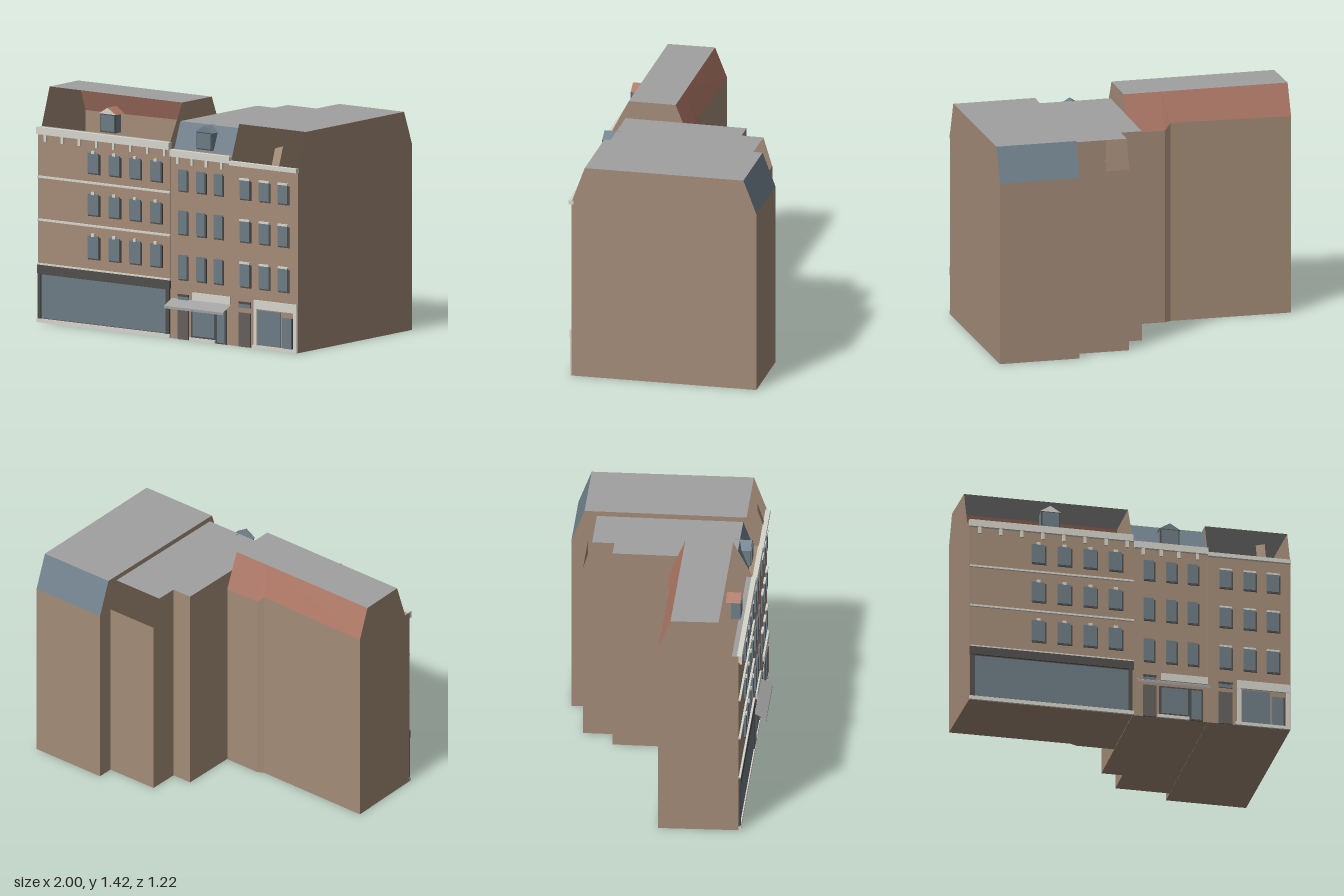
import * as THREE from 'three';

const mat = (name, color) => {
  const m = new THREE.MeshStandardMaterial({ color, side: THREE.DoubleSide });
  m.name = name;
  return m;
};

export function createModel() {
  const M = {
    wall: mat('brown brick', 0xa48c78),
    roof: mat('grey flat roof', 0xa0a0a0),
    red: mat('red tile', 0xac7664),
    slate: mat('blue slate', 0x6f808b),
    trim: mat('pale stone', 0xd6d5cc),
    dark: mat('dark frame', 0x504e4c),
    glass: mat('window glass', 0x6d7b84),
    door: mat('door', 0x655f5b),
  };
  const root = new THREE.Group();
  const FRONT = 0.53;

  const group = (name) => {
    const g = new THREE.Group();
    g.name = name;
    root.add(g);
    return g;
  };

  // Flat polygons, each fanned from its first corner
  const faces = (parent, name, material, polys) => {
    const pos = [];
    for (const p of polys)
      for (let i = 1; i < p.length - 1; i++) pos.push(...p[0], ...p[i], ...p[i + 1]);
    const g = new THREE.BufferGeometry();
    g.setAttribute('position', new THREE.Float32BufferAttribute(pos, 3));
    g.computeVertexNormals();
    const m = new THREE.Mesh(g, material);
    m.name = name;
    parent.add(m);
  };

  // Box given by its extents
  const box = (parent, name, material, x0, x1, y0, y1, z0, z1) => {
    const m = new THREE.Mesh(new THREE.BoxGeometry(x1 - x0, y1 - y0, z1 - z0), material);
    m.name = name;
    m.position.set((x0 + x1) / 2, (y0 + y1) / 2, (z0 + z1) / 2);
    parent.add(m);
  };

  // Shell lofted along x through [z, y] profiles; skin holds one material per profile edge, null = open
  const shell = (parent, sections, skin, caps) => {
    const rings = sections.map(({ x, profile }) =>
      profile.map(([z, y]) => [typeof x === 'function' ? x(z) : x, y, z]));
    for (const [key, material] of Object.entries(M)) {
      const polys = [];
      for (let s = 0; s < rings.length - 1; s++) {
        const a = rings[s], b = rings[s + 1], n = a.length;
        for (let i = 0; i < n; i++) {
          const j = (i + 1) % n;
          if (skin[i] === key) polys.push([a[i], a[j], b[j], b[i]]);
        }
      }
      if (key === 'wall') {
        if (caps[0]) polys.push(rings[0]);
        if (caps[1]) polys.push([...rings[rings.length - 1]].reverse());
      }
      if (polys.length) faces(parent, key + 'Shell', material, polys);
    }
  };

  // Building with the red mansard: starts at the ledge, then front, base, back, slope, top
  const west = group('redRoofBuilding');
  const westProfile = (zb, yb) => [
    [0.49, 1.19], [FRONT, 1.19], [FRONT, 0], [zb, 0], [zb, yb], [0.12, 1.42], [0.41, 1.42]];
  shell(west, [
    { x: (z) => -1 + 0.015 * (z / FRONT), profile: westProfile(0.045, 1.23) },
    { x: -0.25, profile: westProfile(0.05, 1.24) },
    { x: -0.21, profile: westProfile(0.03, 1.2) },
    { x: 0.024, profile: westProfile(0.03, 1.2) },
  ], ['roof', 'wall', 'wall', 'wall', 'red', 'roof', null], [true, true]);

  // Middle building with a stepped back and a slate front slope
  const mid = group('middleBuilding');
  const midFront = [[0.49, 1.15], [FRONT, 1.15], [FRONT, 0]];
  const shallow = [...midFront, [-0.32, 0], [-0.32, 1.31], [0.43, 1.31]];
  const deep = [...midFront, [-0.51, 0], [-0.51, 1.13], [-0.455, 1.31], [0.43, 1.31]];
  shell(mid, [{ x: 0.026, profile: shallow }, { x: 0.155, profile: shallow }],
    ['wall', 'wall', 'wall', 'wall', 'roof', 'slate'], [true, false]);
  shell(mid, [{ x: 0.155, profile: deep }, { x: 0.489, profile: deep }],
    ['wall', 'wall', 'wall', 'wall', null, 'roof', 'slate'], [false, false]);
  faces(mid, 'backStepWall', M.wall, [
    [[-0.32, 0], [-0.51, 0], [-0.51, 1.13], [-0.455, 1.31], [-0.32, 1.31]].map(([z, y]) => [0.155, y, z])]);

  // Deep building with slate back slope
  const east = group('deepBuilding');
  const eastProfile = [[FRONT, 1.12], [FRONT, 0], [-0.61, 0], [-0.61, 1.13], [-0.53, 1.34], [0.45, 1.34]];
  shell(east, [
    { x: 0.49, profile: eastProfile },
    { x: (z) => 0.993 + 0.013 * z, profile: eastProfile },
  ], ['wall', 'wall', 'wall', 'slate', 'roof', null], [true, true]);

  // Windows: frame, pane, sill and stone head
  const windows = (parent, xs, rows, w, head) => {
    for (const x of xs) for (const [y0, y1] of rows) {
      const l = x - w / 2, r = x + w / 2;
      box(parent, 'windowFrame', M.dark, l + 0.002, r + 0.007, y0 - 0.005, y1 - 0.008, FRONT, FRONT + 0.007);
      box(parent, 'windowPane', M.glass, l, r - 0.003, y0 + 0.004, y1, FRONT, FRONT + 0.011);
      if (head === 'key') {
        box(parent, 'keystone', M.trim, x - 0.011, x + 0.011, y1 - 0.004, y1 + 0.014, FRONT, FRONT + 0.015);
      } else if (head === 'lintel') {
        box(parent, 'lintel', M.trim, l, r, y1 - 0.004, y1 + 0.008, FRONT, FRONT + 0.014);
      }
    }
  };
  windows(west, [-0.557, -0.397, -0.237, -0.08], [[0.945, 1.07], [0.69, 0.82], [0.425, 0.565]], 0.084, 'key');
  windows(mid, [0.127, 0.265, 0.398], [[0.905, 1.035], [0.64, 0.785], [0.365, 0.515]], 0.066, 'none');
  windows(east, [0.6, 0.748, 0.892], [[0.9, 1.02], [0.64, 0.77], [0.365, 0.51]], 0.076, 'lintel');

  // Cornices with brackets
  const cornice = (parent, x0, x1, y0, y1, brackets) => {
    box(parent, 'cornice', M.trim, x0, x1, y0, y1, FRONT - 0.01, FRONT + 0.02);
    for (const x of brackets)
      box(parent, 'corniceBracket', M.trim, x - 0.009, x + 0.009, y0 - 0.042, y0, FRONT, FRONT + 0.015);
  };
  cornice(west, -0.985, 0.028, 1.148, 1.192, Array.from({ length: 8 }, (_, i) => -0.92 + i * 0.13));
  cornice(mid, 0.035, 0.49, 1.11, 1.152, [0.09, 0.2, 0.31, 0.425]);
  cornice(east, 0.49, 1, 1.1, 1.125, []);

  // String courses and plinths
  for (const y of [0.355, 0.626, 0.888])
    box(west, 'stringCourse', M.trim, -0.98, 0.03, y - 0.006, y + 0.006, FRONT, FRONT + 0.013);
  box(west, 'plinth', M.trim, -0.985, 0.03, 0, 0.024, FRONT, FRONT + 0.014);
  box(mid, 'plinth', M.trim, 0.18, 0.375, 0, 0.02, FRONT, FRONT + 0.012);
  box(east, 'plinth', M.trim, 0.66, 1, 0, 0.02, FRONT, FRONT + 0.012);

  // Wide shopfront
  box(west, 'shopFascia', M.dark, -0.982, 0.03, 0.3, 0.352, FRONT, FRONT + 0.014);
  box(west, 'shopFrame', M.dark, -0.98, 0.022, 0.024, 0.3, FRONT, FRONT + 0.004);
  box(west, 'shopGlass', M.glass, -0.95, 0.0, 0.028, 0.293, FRONT, FRONT + 0.007);
  for (const x of [-0.968, 0.012])
    box(west, 'shopPier', M.dark, x - 0.012, x + 0.012, 0.024, 0.3, FRONT, FRONT + 0.012);

  // Middle shop: doors, glass, sign and awning
  const entrance = (parent, x0, x1) => {
    box(parent, 'door', M.door, x0, x1, 0, 0.208, FRONT, FRONT + 0.009);
    box(parent, 'transom', M.glass, x0, x1, 0.238, 0.265, FRONT, FRONT + 0.008);
    box(parent, 'transomHead', M.dark, x0, x1, 0.262, 0.275, FRONT, FRONT + 0.011);
  };
  entrance(mid, 0.09, 0.17);
  entrance(east, 0.555, 0.642);
  box(mid, 'shopFrame', M.dark, 0.19, 0.375, 0.02, 0.21, FRONT, FRONT + 0.005);
  box(mid, 'shopGlass', M.glass, 0.203, 0.365, 0.03, 0.2, FRONT, FRONT + 0.008);
  box(mid, 'shopDoorFrame', M.dark, 0.375, 0.46, 0, 0.21, FRONT, FRONT + 0.006);
  box(mid, 'shopDoor', M.glass, 0.388, 0.448, 0.008, 0.2, FRONT, FRONT + 0.009);
  box(mid, 'signBoard', M.trim, 0.2, 0.49, 0.248, 0.295, FRONT, FRONT + 0.01);
  faces(mid, 'awning', M.roof, [
    [[0.04, 0.246, FRONT], [0.04, 0.207, 0.608], [0.49, 0.207, 0.608], [0.49, 0.246, FRONT]],
    [[0.04, 0.207, 0.608], [0.04, 0.192, 0.608], [0.49, 0.192, 0.608], [0.49, 0.207, 0.608]]]);

  // Corner shop
  box(east, 'shopFascia', M.trim, 0.67, 1, 0.242, 0.295, FRONT, FRONT + 0.013);
  for (const x of [0.683, 0.985])
    box(east, 'shopPilaster', M.trim, x - 0.012, x + 0.012, 0, 0.242, FRONT, FRONT + 0.011);
  box(east, 'shopGlass', M.glass, 0.702, 0.873, 0.022, 0.235, FRONT, FRONT + 0.007);
  box(east, 'shopDoor', M.glass, 0.887, 0.957, 0, 0.207, FRONT, FRONT + 0.01);
  box(east, 'doorPost', M.dark, 0.957, 0.964, 0, 0.207, FRONT, FRONT + 0.01);

  // Dormers with a pitched roof
  const dormer = (parent, x0, x1, y0, ye, yp, zr, roofMat, gableMat) => {
    const xm = (x0 + x1) / 2, zf = 0.503, a = x0 - 0.006, b = x1 + 0.006;
    box(parent, 'dormerBody', M.slate, x0, x1, y0, ye, zr + 0.03, 0.5);
    box(parent, 'dormerFrame', M.dark, x0, x1, y0, ye, 0.5, 0.502);
    box(parent, 'dormerPane', M.glass, x0 + 0.008, x1 - 0.008, y0 + 0.008, ye - 0.006, 0.5, 0.506);
    faces(parent, 'dormerRoof', roofMat, [
      [[a, ye, zf], [xm, yp, zf], [xm, yp, zr], [a, ye, zr]],
      [[b, ye, zf], [b, ye, zr], [xm, yp, zr], [xm, yp, zf]]]);
    faces(parent, 'dormerGable', gableMat, [[[a, ye, zf], [b, ye, zf], [xm, yp, zf]]]);
  };
  dormer(west, -0.533, -0.416, 1.2, 1.312, 1.352, 0.415, M.red, M.trim);
  dormer(mid, 0.203, 0.322, 1.165, 1.272, 1.312, 0.4, M.slate, M.slate);

  // Small upstand at the deep building's roof edge
  faces(east, 'roofUpstand', M.wall, [
    [[0.795, 1.12, 0.525], [0.852, 1.12, 0.525], [0.852, 1.242, 0.485], [0.795, 1.225, 0.49]]]);

  return root;
}
